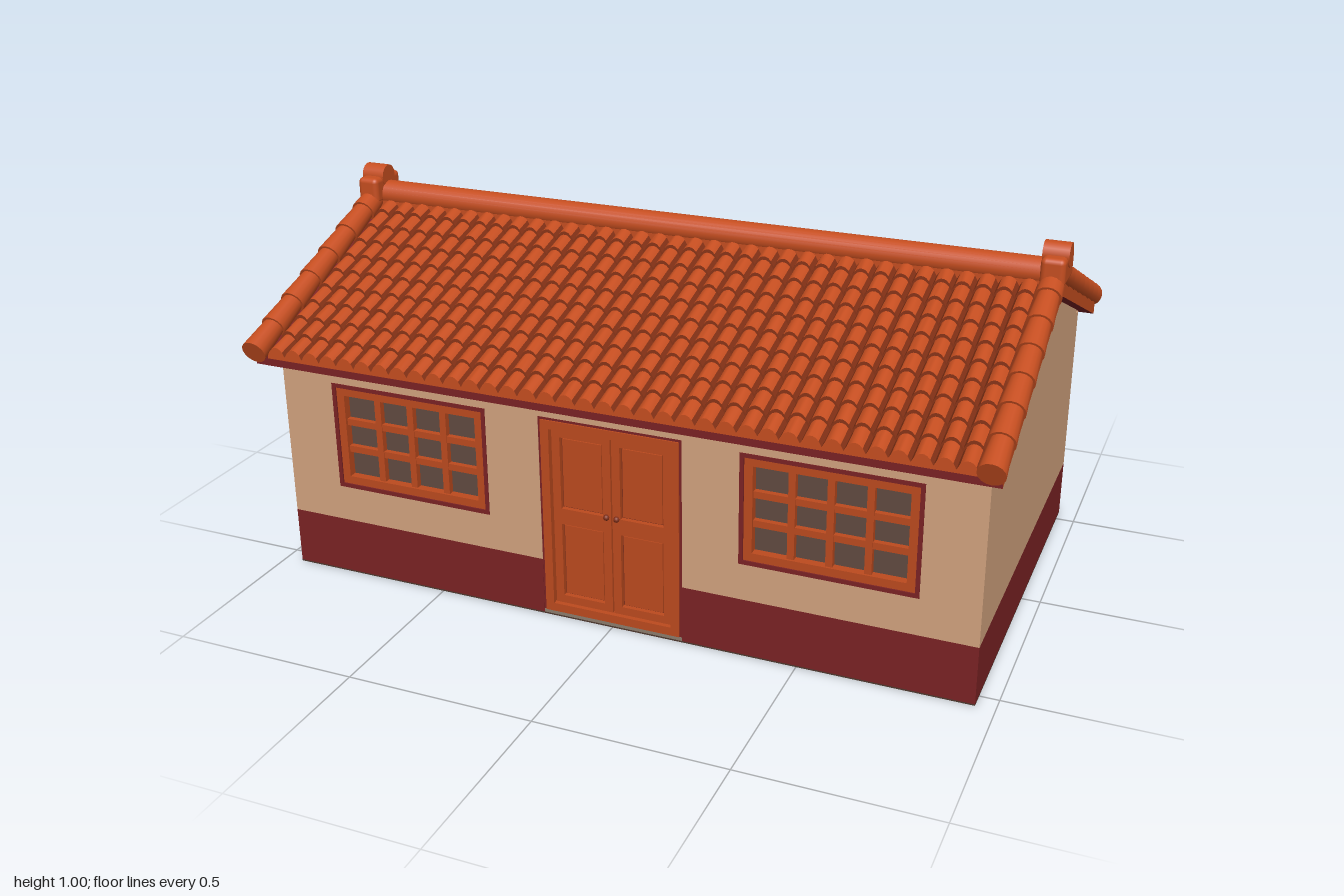
import * as THREE from 'three';
import { toCreasedNormals } from 'three/addons/utils/BufferGeometryUtils.js';
import { RoundedBoxGeometry } from 'three/addons/geometries/RoundedBoxGeometry.js';

const SLOPE = 0.415, ANGLE = Math.atan(SLOPE);
const HALF_X = 0.95, WALL_Z = 0.545, CORE_Z = 0.515, BASE_Y = 0.16, FLOOR = 0.004;

function material(name, color, side = THREE.FrontSide) {
  const m = new THREE.MeshStandardMaterial({ color, side });
  m.name = name;
  return m;
}

export function createModel() {
  const tile = material('terracotta', 0xc64e20, THREE.DoubleSide);
  const groove = material('tileGroove', 0x8a3417, THREE.DoubleSide);
  const wood = material('paintedWood', 0xbc4a1e);
  const woodDark = material('woodGroove', 0x82301a);
  const red = material('darkRed', 0x7a2224);
  const plaster = material('plaster', 0xd2a27e);
  const glass = material('windowGlass', 0x614a40);
  const stone = material('floorStone', 0x4e382e);
  const step = material('doorstep', 0x8c7c6c);

  const house = new THREE.Group();
  house.name = 'house';

  function add(parent, name, geometry, mat, x = 0, y = 0, z = 0) {
    const mesh = new THREE.Mesh(geometry, mat);
    mesh.name = name;
    mesh.position.set(x, y, z);
    parent.add(mesh);
    return mesh;
  }
  // Box given by its limits
  function box(parent, name, mat, x0, x1, y0, y1, z0, z1) {
    return add(parent, name, new THREE.BoxGeometry(x1 - x0, y1 - y0, z1 - z0), mat,
      (x0 + x1) / 2, (y0 + y1) / 2, (z0 + z1) / 2);
  }
  function polygon(points) {
    return new THREE.Shape(points.map(p => new THREE.Vector2(...p)));
  }
  const rect = (x0, x1, y0, y1) => [[x0, y0], [x1, y0], [x1, y1], [x0, y1]];
  function extrude(shape, depth) {
    return new THREE.ExtrudeGeometry(shape, { depth, bevelEnabled: false });
  }
  // Rectangular frame of width t
  function frame(parent, name, mat, x0, x1, y0, y1, t, z0, z1) {
    const s = polygon(rect(x0, x1, y0, y1));
    s.holes.push(polygon(rect(x0 + t, x1 - t, y0 + t, y1 - t)));
    return add(parent, name, extrude(s, z1 - z0), mat, 0, 0, z0);
  }
  // Profile in z and y, swept along x
  function sweepX(name, points, halfLength, mat) {
    const g = extrude(polygon(points), halfLength * 2);
    g.translate(0, 0, -halfLength).rotateY(Math.PI / 2);
    return add(house, name, g, mat);
  }

  // Floor, plinth core and gabled wall core
  box(house, 'floor', stone, -HALF_X, HALF_X, 0, FLOOR, -WALL_Z, WALL_Z);
  box(house, 'plinthCore', red, -HALF_X, HALF_X, FLOOR, BASE_Y, -CORE_Z, CORE_Z);
  const under = z => 0.862 - SLOPE * z;
  sweepX('gableWalls', [[-CORE_Z, BASE_Y], [CORE_Z, BASE_Y], [CORE_Z, under(CORE_Z)],
    [0, under(0)], [-CORE_Z, under(CORE_Z)]], HALF_X, plaster);

  // Panelled leaves, two side by side, with rails at the given heights
  function leaves(parent, y0, y1, rails) {
    box(parent, 'leafBacking', woodDark, -0.165, 0.165, y0, y1, 0.513, 0.522);
    for (const s of [-1, 1]) {
      const x0 = s < 0 ? -0.163 : 0.002, x1 = x0 + 0.161;
      const edges = [y0 + 0.002, ...rails, y1 - 0.002];
      for (let i = 0; i < edges.length - 1; i++) {
        frame(parent, 'leafFrame', wood, x0, x1, edges[i], edges[i + 1], 0.022, 0.521, 0.535);
        box(parent, 'leafPanel', wood, x0 + 0.027, x1 - 0.027, edges[i] + 0.027, edges[i + 1] - 0.027, 0.52, 0.529);
      }
    }
  }
  function windowUnit(parent, cx) {
    const g = new THREE.Group();
    g.name = 'window';
    g.position.x = cx;
    parent.add(g);
    const w = 0.2275, y0 = 0.26, y1 = 0.56;
    box(g, 'panes', glass, -w, w, y0, y1, 0.514, 0.52);
    frame(g, 'outerTrim', red, -w, w, y0, y1, 0.011, 0.515, 0.547);
    frame(g, 'windowFrame', wood, -w + 0.011, w - 0.011, y0 + 0.011, y1 - 0.011, 0.022, 0.515, 0.543);
    for (let i = 1; i < 4; i++) {
      const x = -0.1945 + 0.389 * i / 4;
      box(g, 'mullion', wood, x - 0.009, x + 0.009, y0 + 0.02, y1 - 0.02, 0.518, 0.537);
    }
    for (let i = 1; i < 3; i++) {
      const y = 0.293 + 0.234 * i / 3;
      box(g, 'glazingBar', wood, -w + 0.02, w - 0.02, y - 0.009, y + 0.009, 0.518, 0.535);
    }
  }

  // Front and back walls with openings
  function facade(name, isFront) {
    const g = new THREE.Group();
    g.name = name;
    house.add(g);
    const outline = isFront
      ? [[-HALF_X, BASE_Y], [-0.195, BASE_Y], [-0.195, 0.565], [0.195, 0.565], [0.195, BASE_Y],
        [HALF_X, BASE_Y], [HALF_X, 0.634], [-HALF_X, 0.634]]
      : rect(-HALF_X, HALF_X, BASE_Y, 0.634);
    const wall = polygon(outline);
    for (const cx of [-0.5725, 0.5725]) {
      wall.holes.push(polygon(rect(cx - 0.2275, cx + 0.2275, 0.26, 0.56)));
      windowUnit(g, cx);
    }
    if (!isFront) wall.holes.push(polygon(rect(-0.19, 0.19, 0.26, 0.56)));
    add(g, 'wall', extrude(wall, WALL_Z - CORE_Z), plaster, 0, 0, CORE_Z);
    if (isFront) {
      box(g, 'plinthLeft', red, 0.195, HALF_X, FLOOR, BASE_Y, CORE_Z, WALL_Z);
      box(g, 'plinthRight', red, -HALF_X, -0.195, FLOOR, BASE_Y, CORE_Z, WALL_Z);
      box(g, 'doorstep', step, -0.195, 0.195, FLOOR, 0.014, CORE_Z, WALL_Z);
      frame(g, 'doorTrim', red, -0.195, 0.195, 0.014, 0.565, 0.007, 0.515, 0.544);
      frame(g, 'doorFrame', wood, -0.188, 0.188, 0.015, 0.558, 0.023, 0.515, 0.548);
      leaves(g, 0.036, 0.535, [0.29]);
      for (const x of [-0.014, 0.014])
        add(g, 'doorKnob', new THREE.SphereGeometry(0.008, 10, 8), woodDark, x, 0.312, 0.538);
    } else {
      box(g, 'plinth', red, -HALF_X, HALF_X, FLOOR, BASE_Y, CORE_Z, WALL_Z);
      frame(g, 'shutterTrim', red, -0.19, 0.19, 0.26, 0.56, 0.007, 0.515, 0.547);
      frame(g, 'shutterFrame', wood, -0.183, 0.183, 0.267, 0.553, 0.02, 0.515, 0.545);
      leaves(g, 0.286, 0.534, []);
    }
    return g;
  }
  facade('frontFacade', true);
  facade('backFacade', false).rotation.y = Math.PI;

  // Roof deck: red soffit and fascia, terracotta verge
  const E = 0.605;
  sweepX('roofDeck', [[-E, 0.86 - SLOPE * E], [0, 0.86], [E, 0.86 - SLOPE * E],
    [E, 0.895 - SLOPE * E], [0, 0.895], [-E, 0.895 - SLOPE * E]], 0.985, [tile, red]);

  // Barrel tiles in stepped courses; grooves and course edges are darker
  function tileSlope() {
    const columns = 36, parts = 7, rows = 10, width = 1.87, z0 = 0.02, z1 = 0.622;
    const light = [], dark = [];
    const bump = k => (k === 0 || k === parts) ? 0 : 0.024 * Math.sqrt(Math.sin(Math.PI * (k - 0.4) / (parts - 0.8)));
    const quad = (list, a, b, c, d) => list.push(...a, ...b, ...c, ...a, ...c, ...d);
    for (let c = 0; c < columns; c++) {
      for (let k = 0; k < parts; k++) {
        const xa = -width / 2 + width * (c + k / parts) / columns;
        const xb = xa + width / columns / parts;
        const point = (x, kk, z, lift) => [x, 0.895 - SLOPE * z + bump(kk) + lift, z];
        const list = (k === 0 || k === parts - 1) ? dark : light;
        for (let r = 0; r < rows; r++) {
          const za = z0 + (z1 - z0) * r / rows, zb = z0 + (z1 - z0) * (r + 1) / rows;
          const p = point(xa, k, zb, 0.009), q = point(xb, k + 1, zb, 0.009);
          quad(list, point(xa, k, za, 0), p, q, point(xb, k + 1, za, 0));
          const last = r === rows - 1, foot = 0.895 - SLOPE * zb;
          quad(last ? light : dark, p,
            last ? [xa, foot, zb] : point(xa, k, zb, 0),
            last ? [xb, foot, zb] : point(xb, k + 1, zb, 0), q);
        }
      }
    }
    const g = new THREE.Group();
    g.name = 'tileSlope';
    for (const [name, list, mat] of [['barrelTiles', light, tile], ['tileGrooves', dark, groove]]) {
      const geo = new THREE.BufferGeometry();
      geo.setAttribute('position', new THREE.Float32BufferAttribute(list, 3));
      add(g, name, toCreasedNormals(geo, 0.9), mat);
    }
    // Overlapping verge caps down both gable edges
    const n = 7, length = 0.64 / n / Math.cos(ANGLE);
    for (const x of [-0.965, 0.965]) {
      for (let i = 0; i < n; i++) {
        const z = 0.64 * (i + 0.5) / n;
        const cap = add(g, 'vergeCap', new THREE.CylinderGeometry(0.034, 0.028, length, 16), tile,
          x, 0.921 - SLOPE * z, z);
        cap.rotation.x = Math.PI / 2 + ANGLE;
      }
    }
    house.add(g);
    return g;
  }
  tileSlope();
  tileSlope().rotation.y = Math.PI;

  // Ridge and its end ornaments
  box(house, 'ridgeBase', tile, -0.96, 0.96, 0.86, 0.92, -0.032, 0.032);
  add(house, 'ridgeCap', new THREE.CylinderGeometry(0.036, 0.036, 1.92, 20), tile, 0, 0.919, 0).rotation.z = Math.PI / 2;
  for (const x of [-0.965, 0.965]) {
    add(house, 'ridgeEndBlock', new RoundedBoxGeometry(0.062, 0.075, 0.126, 3, 0.014), tile, x, 0.934, 0);
    add(house, 'ridgeEndRoll', new THREE.CylinderGeometry(0.031, 0.031, 0.066, 20), tile, x, 0.969, 0)
      .rotation.z = Math.PI / 2;
  }
  return house;
}
